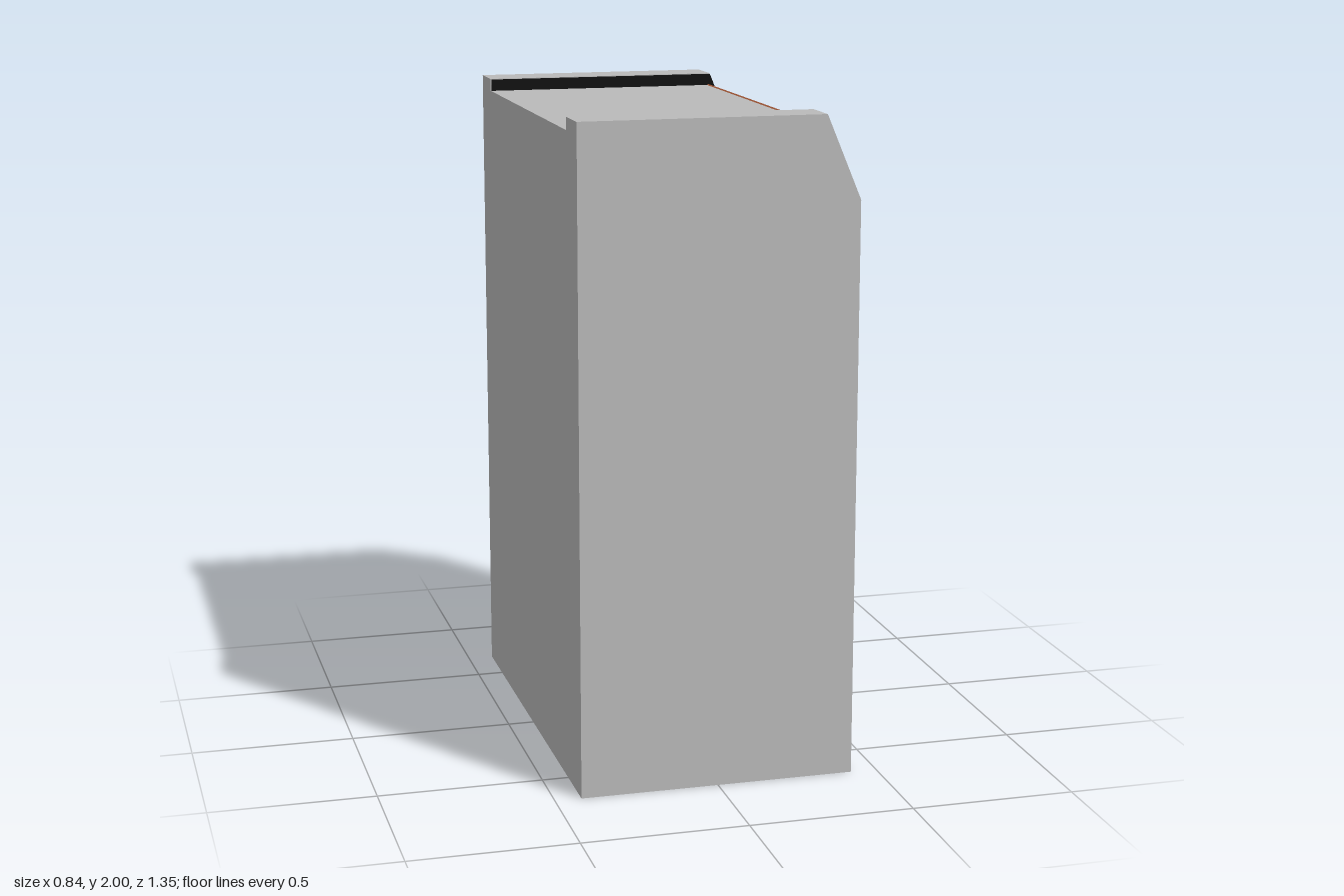
import * as THREE from 'three';

export function createModel() {
  const group = new THREE.Group();
  const grey = new THREE.MeshStandardMaterial({ color: 0xbababa });
  grey.name = 'wall grey';
  const orange = new THREE.MeshStandardMaterial({ color: 0xa85a38 });
  orange.name = 'awning orange';
  const black = new THREE.MeshStandardMaterial({ color: 0x080808 });
  black.name = 'interior black';

  const H = 0.545; // half width between the side panels

  // Box given by its minimum and maximum corners
  function box(name, material, [x0, y0, z0], [x1, y1, z1]) {
    const mesh = new THREE.Mesh(new THREE.BoxGeometry(x1 - x0, y1 - y0, z1 - z0), material);
    mesh.position.set((x0 + x1) / 2, (y0 + y1) / 2, (z0 + z1) / 2);
    mesh.name = name;
    group.add(mesh);
  }

  // Profile in x and y, extruded from z0 to z1
  function slab(name, material, points, z0, z1) {
    const shape = new THREE.Shape(points.map(([x, y]) => new THREE.Vector2(x, y)));
    const geometry = new THREE.ExtrudeGeometry(shape, { depth: z1 - z0, bevelEnabled: false });
    const mesh = new THREE.Mesh(geometry, material);
    mesh.position.z = z0;
    mesh.name = name;
    group.add(mesh);
  }

  // Side panels with sloped front corners, lined in black on the inside
  const panel = [[-0.42, 0], [0.42, 0], [0.42, 1.75], [0.315, 2], [-0.42, 2]];
  const lining = [[-0.417, 0.84], [0.385, 0.84], [0.385, 1.83], [0.315, 1.998], [-0.417, 1.998]];
  slab('leftPanel', grey, panel, H, 0.675);
  slab('rightPanel', grey, panel, -0.675, -H);
  slab('leftLining', black, lining, H - 0.004, H);
  slab('rightLining', black, lining, -H, -H + 0.004);

  // Closed lower body with the black counter on top
  box('lowerBody', grey, [-0.42, 0, -H], [0.405, 0.838, H]);
  box('counter', black, [-0.415, 0.838, -H], [0.395, 0.843, H]);

  // Back wall and roof around the open interior
  box('backWall', grey, [-0.42, 0.838, -H], [-0.415, 1.96, H]);
  box('roof', grey, [-0.42, 1.955, -H], [0.31, 1.962, H]);

  // Post between the two windows
  box('windowPost', grey, [0.38, 0.838, -0.032], [0.403, 1.78, 0.032]);

  // Sloped awning, the band below it and the ledge between them
  slab('awning', orange,
    [[0.31, 1.965], [0.298, 1.958], [0.375, 1.775], [0.387, 1.782]], -H + 0.002, H - 0.002);
  box('awningBand', orange, [0.375, 1.74, -H + 0.002], [0.405, 1.78, H - 0.002]);
  box('awningLedge', grey, [0.385, 1.78, -H + 0.002], [0.405, 1.784, H - 0.002]);

  return group;
}
